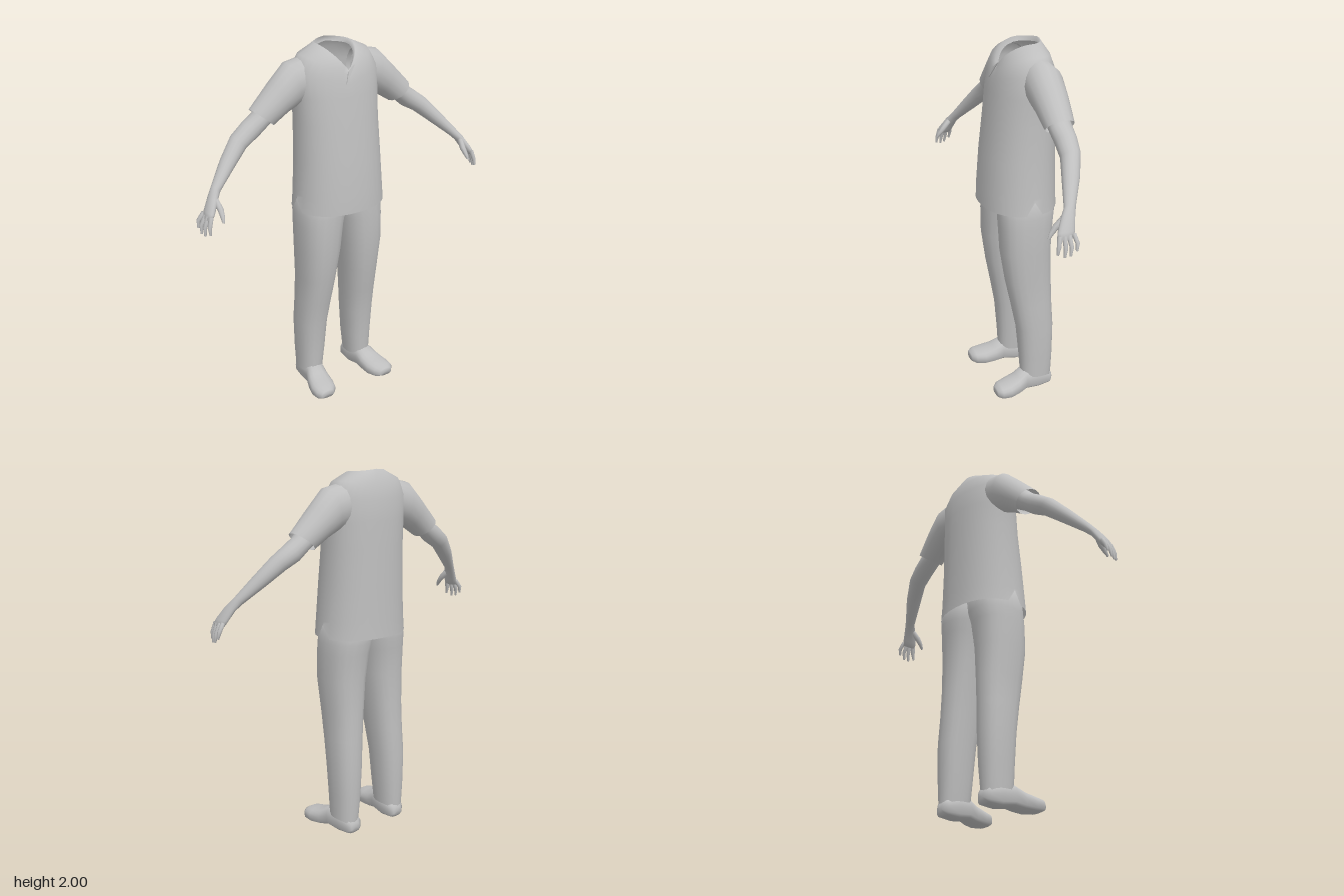
import * as THREE from 'three';

const V = (x, y, z) => new THREE.Vector3(x, y, z);
const clothing = new THREE.MeshStandardMaterial({ color: 0xbfbfbf, side: THREE.DoubleSide });
clothing.name = 'plain grey';

// Skin a list of equal-length closed rings; side -1 mirrors the part in x.
function loft(name, rings, { side = 1, capStart = false, capEnd = false } = {}) {
  if (side < 0) rings = rings.map(r => r.map(p => V(-p.x, p.y, p.z)).reverse());
  const n = rings[0].length, pos = [], idx = [];
  rings.forEach(r => r.forEach(p => pos.push(p.x, p.y, p.z)));
  for (let k = 0; k < rings.length - 1; k++) {
    for (let i = 0; i < n; i++) {
      const a = k * n + i, b = k * n + (i + 1) % n;
      idx.push(a, b, b + n, a, b + n, a + n);
    }
  }
  const cap = (k, end) => {
    const c = rings[k].reduce((s, p) => s.add(p), V(0, 0, 0)).divideScalar(n);
    const ci = pos.length / 3;
    pos.push(c.x, c.y, c.z);
    for (let i = 0; i < n; i++) {
      const a = k * n + i, b = k * n + (i + 1) % n;
      if (end) idx.push(a, b, ci); else idx.push(b, a, ci);
    }
  };
  if (capStart) cap(0, false);
  if (capEnd) cap(rings.length - 1, true);
  const g = new THREE.BufferGeometry();
  g.setAttribute('position', new THREE.Float32BufferAttribute(pos, 3));
  g.setIndex(idx);
  g.computeVertexNormals();
  const mesh = new THREE.Mesh(g, clothing);
  mesh.name = name;
  return mesh;
}

const bulge = (v, e) => Math.sign(v) * Math.abs(v) ** (2 / e);

// Horizontal garment ring whose height may differ at side, front and back.
function level({ cx = 0, hw, zf, zb, zm = (zf + zb) / 2, y, yf = y, yb = y, e = 2.2, n = 32 }) {
  return Array.from({ length: n }, (_, i) => {
    const a = i / n * Math.PI * 2, c = bulge(Math.cos(a), e), s = bulge(-Math.sin(a), e);
    const t = 1 - Math.abs(c);
    return V(cx + hw * c, y + ((s > 0 ? yf : yb) - y) * t, zm + (s > 0 ? (zf - zm) : (zm - zb)) * s);
  });
}

// Limb ring through an upper and a lower outline point, with depth rz about z.
function section([tx, ty, bx, by, z, rz], n = 16) {
  return Array.from({ length: n }, (_, i) => {
    const a = i / n * Math.PI * 2, c = Math.cos(a) / 2;
    return V((tx + bx) / 2 + (tx - bx) * c, (ty + by) / 2 + (ty - by) * c, z + rz * Math.sin(a));
  });
}

// Round rings along a path of [x, y, z, radius].
function digit(path, n = 8) {
  const pts = path.map(p => V(p[0], p[1], p[2]));
  return pts.map((p, k) => {
    const t = pts[Math.min(k + 1, pts.length - 1)].clone().sub(pts[Math.max(k - 1, 0)]).normalize();
    const u = V(0, 0, 1).addScaledVector(t, -t.z).normalize(), v = t.clone().cross(u);
    return Array.from({ length: n }, (_, i) => {
      const a = i / n * Math.PI * 2, r = path[k][3];
      return p.clone().addScaledVector(u, r * Math.cos(a)).addScaledVector(v, r * Math.sin(a));
    });
  });
}

function shirtBody() {
  const rings = [
    { hw: 0.26, zf: 0.2, zb: -0.205, y: 1.12 },
    { hw: 0.252, zf: 0.197, zb: -0.202, y: 1.21 },
    { hw: 0.242, zf: 0.182, zb: -0.2, y: 1.4 },
    { hw: 0.236, zf: 0.157, zb: -0.198, y: 1.6 },
    { hw: 0.24, zf: 0.14, zb: -0.195, y: 1.74 },
    { hw: 0.25, zf: 0.127, zb: -0.19, zm: -0.05, y: 1.86, yf: 1.81, yb: 1.85, e: 2 },
    { hw: 0.2, zf: 0.115, zb: -0.165, zm: -0.055, y: 1.945, yf: 1.845, yb: 1.93, e: 2 },
    { hw: 0.1, zf: 0.1, zb: -0.13, zm: -0.055, y: 1.99, yf: 1.87, yb: 2, e: 2 },
    { hw: 0.09, zf: 0.085, zb: -0.12, zm: -0.055, y: 1.965, yf: 1.85, yb: 1.975, e: 2 },
  ].map(level);
  // side slits at the hem
  for (const i of [0, 16]) rings[0][i].y = 1.195;
  return loft('shirtBody', rings);
}

// Small overlapping point below the V neckline
function collarOverlap() {
  const shape = new THREE.Shape([[0.03, 1.895], [-0.012, 1.865], [-0.033, 1.808]].map(p => new THREE.Vector2(...p)));
  const g = new THREE.ExtrudeGeometry(shape, { depth: 0.006, bevelEnabled: false });
  const p = g.attributes.position;
  for (let i = 0; i < p.count; i++) p.setZ(i, p.getZ(i) + 0.103 + (1.895 - p.getY(i)) * 0.27);
  g.computeVertexNormals();
  const mesh = new THREE.Mesh(g, clothing);
  mesh.name = 'collarOverlap';
  return mesh;
}

const SLEEVE = [
  [0.16, 1.94, 0.14, 1.72, -0.055, 0.09],
  [0.275, 1.917, 0.225, 1.69, -0.055, 0.1],
  [0.37, 1.825, 0.285, 1.663, -0.055, 0.09],
  [0.488, 1.705, 0.37, 1.61, -0.052, 0.075],
];
const ARM = [
  [0.41, 1.75, 0.33, 1.66, -0.052, 0.06],
  [0.475, 1.685, 0.4, 1.615, -0.052, 0.06],
  [0.53, 1.65, 0.46, 1.565, -0.052, 0.057],
  [0.605, 1.595, 0.535, 1.525, -0.04, 0.052],
  [0.69, 1.5, 0.63, 1.45, 0, 0.046],
  [0.772, 1.4, 0.735, 1.365, 0.05, 0.031],
  [0.805, 1.355, 0.765, 1.335, 0.075, 0.037],
  [0.84, 1.295, 0.8, 1.28, 0.1, 0.045],
  [0.85, 1.262, 0.82, 1.255, 0.108, 0.042],
];
const FINGERS = {
  littleFinger: [[0.835, 1.28, 0.068, 0.012], [0.862, 1.24, 0.06, 0.011], [0.868, 1.205, 0.066, 0.006]],
  ringFinger: [[0.835, 1.275, 0.092, 0.013], [0.862, 1.225, 0.09, 0.011], [0.866, 1.183, 0.097, 0.006]],
  middleFinger: [[0.835, 1.275, 0.115, 0.013], [0.856, 1.22, 0.118, 0.011], [0.86, 1.178, 0.124, 0.006]],
  indexFinger: [[0.83, 1.275, 0.137, 0.013], [0.845, 1.225, 0.148, 0.011], [0.846, 1.19, 0.154, 0.006]],
  thumb: [[0.78, 1.345, 0.09, 0.016], [0.773, 1.3, 0.13, 0.016], [0.776, 1.27, 0.155, 0.012], [0.78, 1.245, 0.17, 0.006]],
};

function arm(side) {
  const g = new THREE.Group();
  g.name = side > 0 ? 'leftArm' : 'rightArm';
  g.add(loft('sleeve', SLEEVE.map(s => section(s)), { side }));
  g.add(loft('bareArmAndPalm', ARM.map(s => section(s)), { side, capEnd: true }));
  for (const [name, path] of Object.entries(FINGERS)) {
    g.add(loft(name, digit(path), { side, capStart: true, capEnd: true }));
  }
  return g;
}

// Trouser levels: [y, inner x, outer x, front z, back z]
const TROUSER = [
  [0.22, 0.085, 0.237, 0.04, -0.152],
  [0.4, 0.072, 0.243, 0.055, -0.155],
  [0.55, 0.058, 0.24, 0.083, -0.148],
  [0.7, 0.043, 0.24, 0.113, -0.145],
  [0.88, 0.02, 0.251, 0.138, -0.142],
  [1.03, 0.001, 0.25, 0.142, -0.155],
  [1.09, -0.015, 0.247, 0.142, -0.165],
  [1.22, -0.03, 0.235, 0.14, -0.17],
];
// Shoe sections: [z, centre x, half width, bottom y, top y]
const SHOE = [
  [-0.15, 0.16, 0.03, 0.025, 0.07],
  [-0.135, 0.16, 0.05, 0.008, 0.1],
  [-0.06, 0.163, 0.06, 0.002, 0.13],
  [0.02, 0.172, 0.06, 0.014, 0.135],
  [0.07, 0.183, 0.068, 0.006, 0.105],
  [0.13, 0.193, 0.074, 0.003, 0.088],
  [0.18, 0.2, 0.064, 0.008, 0.08],
  [0.205, 0.203, 0.04, 0.02, 0.066],
];

function leg(side) {
  const g = new THREE.Group();
  g.name = side > 0 ? 'leftLeg' : 'rightLeg';
  const hem = level({ cx: 0.165, hw: 0.067, zf: 0.035, zb: -0.145, y: 0.09, yf: 0.13, yb: 0.05, n: 20 });
  const rings = TROUSER.map(([y, xi, xo, zf, zb]) =>
    level({ cx: (xi + xo) / 2, hw: (xo - xi) / 2, zf, zb, y, e: 2.35, n: 20 }));
  g.add(loft('trouserLeg', [hem, ...rings], { side, capEnd: true }));
  // shoe, flattened underneath
  const shoe = SHOE.map(([z, cx, hw, y0, y1]) => Array.from({ length: 16 }, (_, i) => {
    const a = i / 16 * Math.PI * 2;
    const s = bulge(Math.sin(a), Math.sin(a) < 0 ? 4 : 2.2);
    return V(cx + hw * bulge(Math.cos(a), 2.4), (y0 + y1) / 2 + (y1 - y0) / 2 * s, z);
  }));
  g.add(loft('shoe', shoe, { side, capStart: true, capEnd: true }));
  return g;
}

export function createModel() {
  const model = new THREE.Group();
  model.name = 'headlessClothedFigure';
  model.add(shirtBody(), collarOverlap());
  for (const side of [1, -1]) model.add(arm(side), leg(side));
  return model;
}
